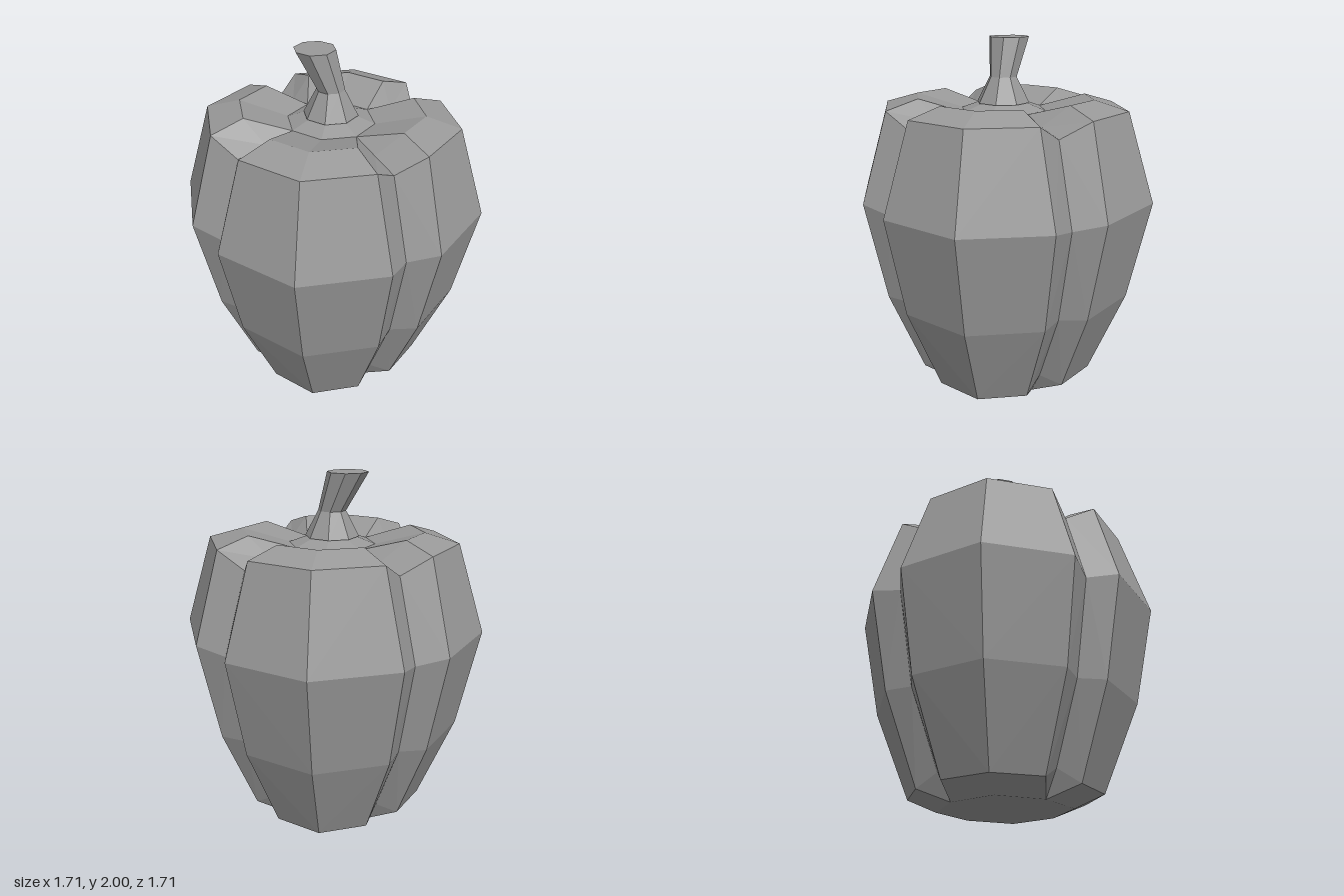
import * as THREE from 'three';

const material = new THREE.MeshStandardMaterial({ color: 0x999999, flatShading: true });

// Skin a stack of rings (bottom to top, counter-clockwise from above), closed by a centre point at each end.
// Quads are split symmetrically about each lobe; the lowest row is split the other way.
function loft(name, rings, bottomCentre, topCentre) {
  const n = rings[0].length;
  const points = [...rings.flat(), bottomCentre, topCentre];
  const bottom = points.length - 2, top = points.length - 1;
  const last = (rings.length - 1) * n;
  const index = [];
  for (let j = 0; j < n; j++) {
    const k = (j + 1) % n;
    for (let i = 0; i < rings.length - 1; i++) {
      const a = i * n + j, b = i * n + k;
      if ((j % 4 < 2) === (i > 0)) index.push(a, b, b + n, a, b + n, a + n);
      else index.push(a, b, a + n, b, b + n, a + n);
    }
    index.push(bottom, k, j, top, last + j, last + k);
  }
  const indexed = new THREE.BufferGeometry();
  indexed.setAttribute('position', new THREE.Float32BufferAttribute(points.flat(), 3));
  indexed.setIndex(index);
  const geometry = indexed.toNonIndexed();
  geometry.computeVertexNormals();
  const mesh = new THREE.Mesh(geometry, material);
  mesh.name = name;
  return mesh;
}

// One ring of four lobes: each quarter has a lobe tip, a shoulder, a groove and the next shoulder.
function lobedRing([y, tip, along, across, groove, grooveY]) {
  const ring = [];
  const quarter = [[tip, 0, y], [along, -across, y], [groove, -groove, grooveY], [across, -along, y]];
  for (let q = 0; q < 4; q++) {
    for (const [px, pz, py] of quarter) {
      let x = px, z = pz;
      for (let t = 0; t < q; t++) [x, z] = [z, -x];
      ring.push([x, py, z]);
    }
  }
  return ring;
}

function octagon([y, radius, cx, cz]) {
  return Array.from({ length: 8 }, (_, i) => {
    const a = i * Math.PI / 4;
    return [cx + radius * Math.cos(a), y, cz - radius * Math.sin(a)];
  });
}

export function createModel() {
  const group = new THREE.Group();
  group.name = 'bellPepper';

  // Body: height, lobe tip, shoulder along and across the lobe, groove, groove height
  const body = [
    [0.00, 0.37, 0.305, 0.12, 0.24, 0.00],
    [0.07, 0.53, 0.42, 0.255, 0.30, 0.14],
    [0.56, 0.735, 0.575, 0.385, 0.425, 0.56],
    [1.125, 0.855, 0.67, 0.45, 0.497, 1.09],
    [1.625, 0.70, 0.56, 0.34, 0.40, 1.535],
    [1.68, 0.51, 0.42, 0.22, 0.285, 1.572],
    [1.61, 0.24, 0.205, 0.085, 0.17, 1.61],
  ].map(lobedRing);
  group.add(loft('body', body, [0, 0.02, 0], [0, 1.70, 0]));

  // Stem: flared foot, narrow neck, wider leaning tip
  const stem = [
    [1.65, 0.15, 0, 0],
    [1.79, 0.077, 0, 0],
    [2.00, 0.113, -0.087, -0.01],
  ].map(octagon);
  group.add(loft('stem', stem, [0, 1.65, 0], [-0.087, 2, -0.01]));

  return group;
}
